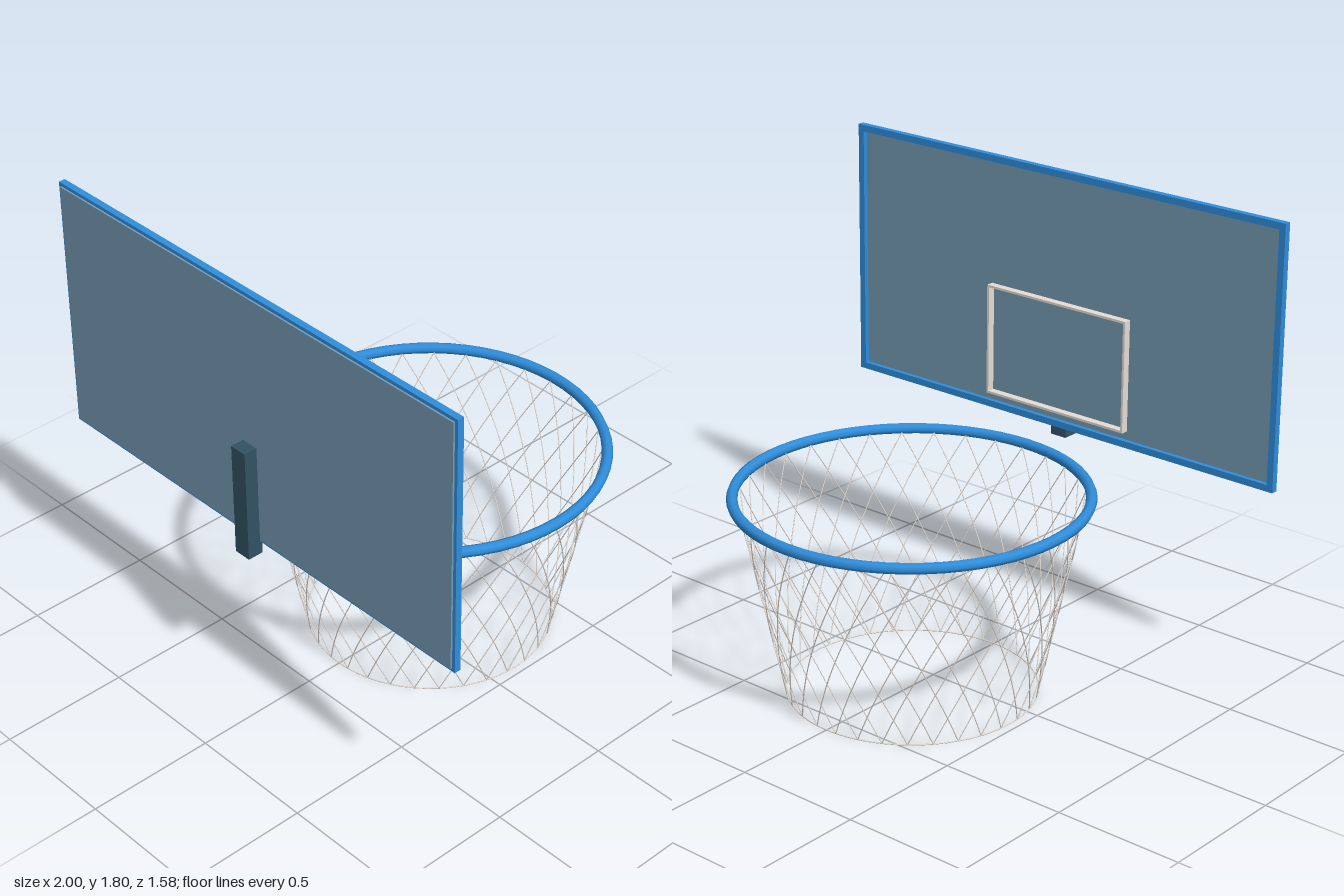
import * as THREE from 'three';
import { mergeGeometries } from 'three/addons/utils/BufferGeometryUtils.js';

const material = (name, color) => {
  const m = new THREE.MeshStandardMaterial({ color });
  m.name = name;
  return m;
};

export function createModel() {
  const blue = material('blue paint', 0x2f8edc);
  const glass = material('blue grey glass', 0x759bb4);
  const steel = material('dark steel', 0x325264);
  const white = material('warm white', 0xe6ddd6);

  const group = new THREE.Group();
  group.name = 'basketballHoop';
  const add = (name, geometry, mat, parent = group) => {
    const mesh = new THREE.Mesh(geometry, mat);
    mesh.name = name;
    parent.add(mesh);
  };
  const box = (name, mat, x0, x1, y0, y1, z0, z1) => {
    const g = new THREE.BoxGeometry(x1 - x0, y1 - y0, z1 - z0);
    g.translate((x0 + x1) / 2, (y0 + y1) / 2, (z0 + z1) / 2);
    add(name, g, mat);
  };
  // Rectangular border with an open middle, running from z0 to z1
  const border = (name, mat, hw, y0, y1, t, z0, z1) => {
    const rect = (Type, w, a, b) => {
      const s = new Type();
      s.moveTo(-w, a); s.lineTo(w, a); s.lineTo(w, b); s.lineTo(-w, b); s.closePath();
      return s;
    };
    const shape = rect(THREE.Shape, hw, y0, y1);
    shape.holes.push(rect(THREE.Path, hw - t, y0 + t, y1 - t));
    const g = new THREE.ExtrudeGeometry(shape, { depth: z1 - z0, bevelEnabled: false });
    g.translate(0, 0, z0);
    add(name, g, mat);
  };

  // Backboard: panel, frame and aiming rectangle
  box('backboardPanel', glass, -0.987, 0.987, 0.803, 1.787, 0.722, 0.737);
  border('backboardFrame', blue, 1, 0.79, 1.8, 0.026, 0.704, 0.73);
  border('targetRectangle', white, 0.33, 0.85, 1.29, 0.009, 0.692, 0.723);

  // Mounting bracket with a foot hooked under the board
  box('bracket', steel, -0.035, 0.035, 0.79, 1.195, 0.735, 0.79);
  box('bracketFoot', steel, -0.035, 0.035, 0.745, 0.79, 0.727, 0.79);

  // Hoop
  const hoop = new THREE.Group();
  hoop.name = 'hoop';
  hoop.position.z = -0.118;
  group.add(hoop);
  const rim = new THREE.TorusGeometry(0.648, 0.021, 8, 64);
  rim.rotateX(Math.PI / 2);
  rim.translate(0, 0.772, 0);
  add('rim', rim, blue, hoop);

  // Net: crossing spiral cords on a cone, closed by a thin bottom ring
  const COUNT = 32, TWIST = 3.5, TOP = 0.762, BOTTOM = 0.003, CORD = 0.002;
  const step = (Math.PI * 2) / COUNT;
  const strand = (dir) => {
    const points = [];
    for (let i = 0; i <= 10; i++) {
      const t = i / 10;
      const r = THREE.MathUtils.lerp(0.63, 0.468, t);
      const a = dir * TWIST * step * t;
      points.push(new THREE.Vector3(r * Math.sin(a), THREE.MathUtils.lerp(TOP, BOTTOM, t), r * Math.cos(a)));
    }
    return new THREE.TubeGeometry(new THREE.CatmullRomCurve3(points), 12, CORD, 6);
  };
  const cords = [];
  for (const dir of [-1, 1]) {
    const base = strand(dir);
    for (let k = 0; k < COUNT; k++) cords.push(base.clone().rotateY(k * step));
  }
  add('netCords', mergeGeometries(cords), white, hoop);

  const ring = new THREE.TorusGeometry(0.468, 0.0025, 6, 64);
  ring.rotateX(Math.PI / 2);
  ring.translate(0, 0.003, 0);
  add('netBottomRing', ring, white, hoop);

  return group;
}
